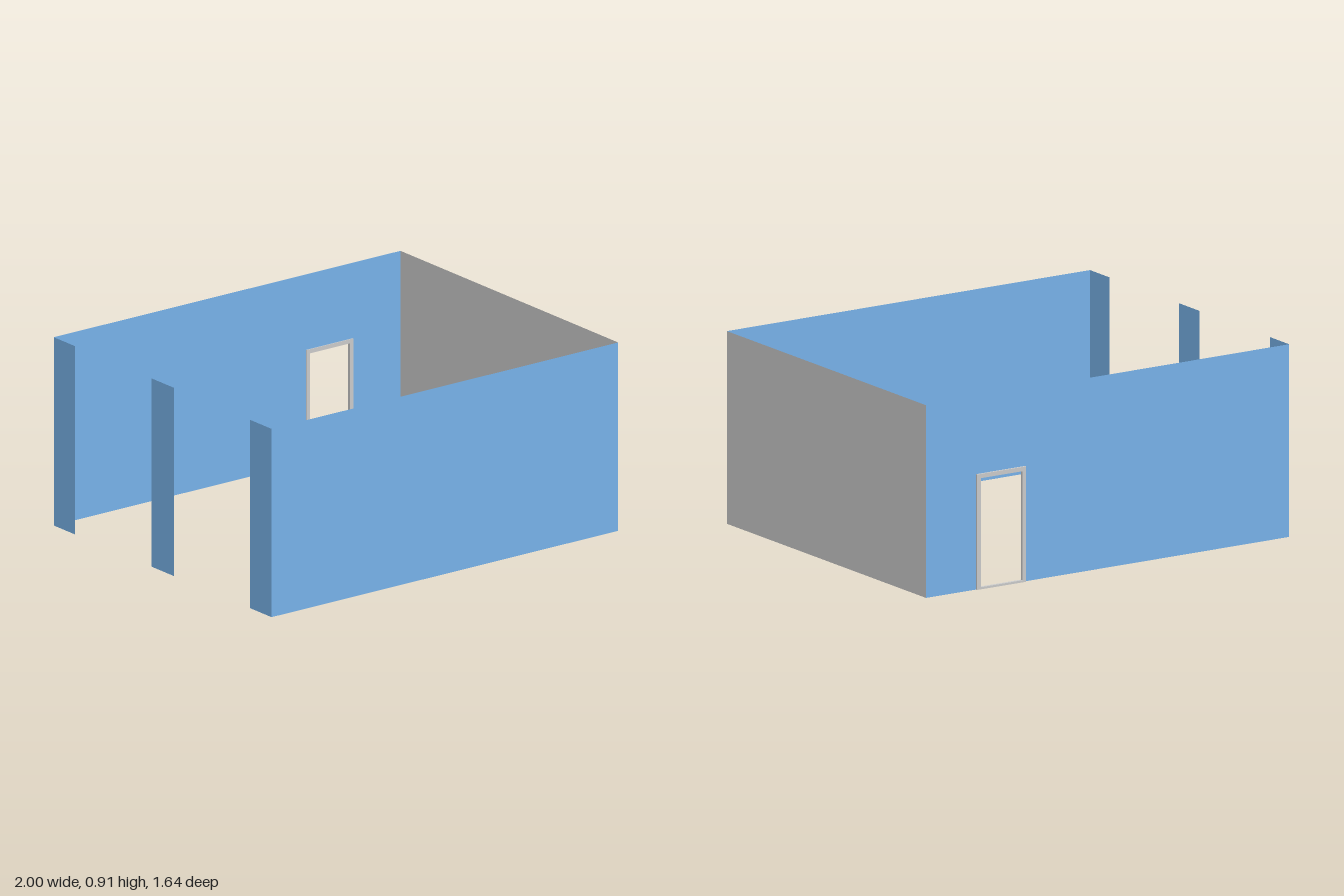
import * as THREE from 'three';

const W = 2, H = 0.91, FRONT = 0.82, BACK = -0.813;
const DOOR = { x0: 0.455, x1: 0.725, top: 0.545, jamb: 0.02, sill: 0.01 };

export function createModel() {
  const room = new THREE.Group();
  room.name = 'openRoom';
  const blue = new THREE.MeshStandardMaterial({ color: 0x78b3ea, side: THREE.DoubleSide });
  const grey = new THREE.MeshStandardMaterial({ color: 0xcccccc, side: THREE.DoubleSide });

  const add = (name, geometry, material, x, y, z, turn = 0, parent = room) => {
    const mesh = new THREE.Mesh(geometry, material);
    mesh.name = name;
    mesh.position.set(x, y, z);
    mesh.rotation.y = turn;
    parent.add(mesh);
    return mesh;
  };

  // Thin walls: long front wall and grey end wall
  add('frontWall', new THREE.PlaneGeometry(W, H), blue, 0, H / 2, FRONT);
  add('endWall', new THREE.PlaneGeometry(FRONT - BACK, H), grey,
    W / 2, H / 2, (FRONT + BACK) / 2, Math.PI / 2);

  // Back wall with the doorway cut up from the floor
  const { x0, x1, top, jamb, sill } = DOOR;
  const outline = [[-1, 0], [x0 + 0.005, 0], [x0 + 0.005, top - 0.005], [x1 - 0.005, top - 0.005],
    [x1 - 0.005, 0], [1, 0], [1, H], [-1, H]];
  const wall = new THREE.Shape(outline.map(([x, y]) => new THREE.Vector2(x, y)));
  add('backWall', new THREE.ShapeGeometry(wall), blue, 0, 0, BACK, Math.PI)
    .scale.x = -1;

  // Piers of the open end, facing outwards
  const piers = [
    ['frontPier', 0.66, FRONT],
    ['middlePier', -0.08, 0.09],
    ['backPier', BACK, -0.655],
  ];
  for (const [name, z0, z1] of piers) {
    add(name, new THREE.PlaneGeometry(z1 - z0, H), blue, -W / 2, H / 2, (z0 + z1) / 2, -Math.PI / 2);
  }

  // Door frame: two jambs, head and sill
  const frame = new THREE.Group();
  frame.name = 'doorFrame';
  room.add(frame);
  const depth = 0.014, z = -0.816, mid = (x0 + x1) / 2, inner = x1 - x0 - 2 * jamb;
  for (const side of [-1, 1]) {
    add(side < 0 ? 'rightJamb' : 'leftJamb', new THREE.BoxGeometry(jamb, top, depth), grey,
      mid + side * (x1 - x0 - jamb) / 2, top / 2, z, 0, frame);
  }
  add('doorHead', new THREE.BoxGeometry(inner, jamb, depth), grey, mid, top - jamb / 2, z, 0, frame);
  add('doorSill', new THREE.BoxGeometry(inner, sill, depth), grey, mid, sill / 2, z, 0, frame);

  return room;
}
